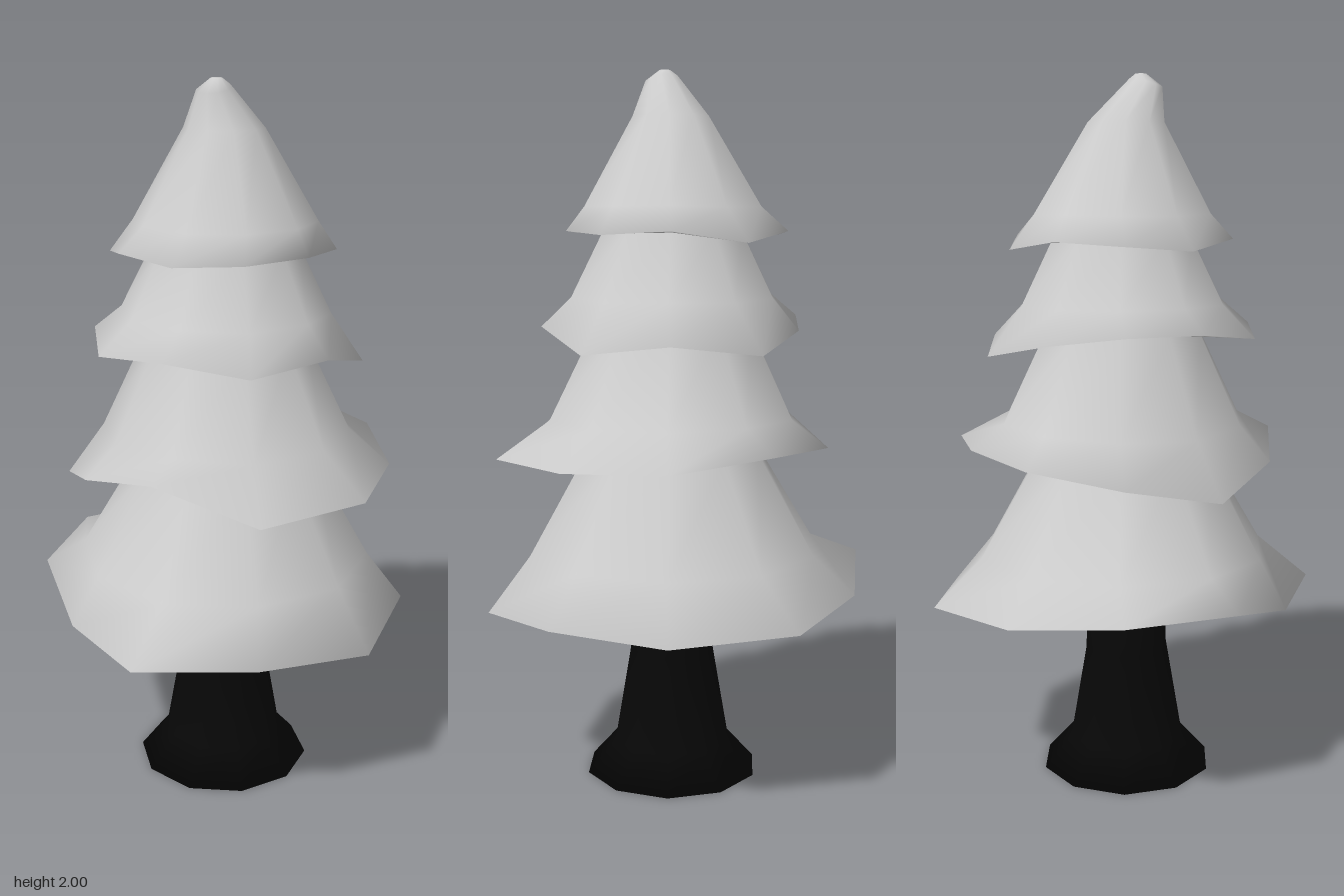
import * as THREE from 'three';

const SIDES = 10;

// One ring of points from the back round by +x; radius and height are numbers or functions of (angle, index)
function ring(cx, cz, y, r) {
  const at = (v, a, j) => (typeof v === 'function' ? v(a, j) : v);
  return Array.from({ length: SIDES }, (_, j) => {
    const a = -Math.PI / 2 + (j / SIDES) * Math.PI * 2;
    const radius = at(r, a, j);
    return [cx + radius * Math.cos(a), at(y, a, j), cz + radius * Math.sin(a)];
  });
}

const mix = (a, b, t) => a.map((p, j) => p.map((v, k) => v + (b[j][k] - v) * t));

// Skins a list of rings, smooth shaded
function loft(rings, material, name) {
  const index = [];
  for (let i = 0; i < rings.length - 1; i++) {
    for (let j = 0; j < SIDES; j++) {
      const a = i * SIDES + j;
      const b = i * SIDES + ((j + 1) % SIDES);
      index.push(a, a + SIDES, b, b, a + SIDES, b + SIDES);
    }
  }
  const geometry = new THREE.BufferGeometry();
  geometry.setAttribute('position', new THREE.Float32BufferAttribute(rings.flat(2), 3));
  geometry.setIndex(index);
  geometry.computeVertexNormals();
  const mesh = new THREE.Mesh(geometry, material);
  mesh.name = name;
  return mesh;
}

// Skirt of branches: an uneven rim with a lip below, a shoulder [y, r], then the crown rings
function makeTier({ name, radii, heights, shoulder: [sy, sr], crown }, material) {
  const rim = ring(0, 0, (a, j) => heights[j], (a, j) => radii[j]);
  // the shoulder keeps a little of the rim's unevenness
  const shoulder = mix(ring(0.02, -0.01, sy + 0.015, sr), rim, 0.12);
  const ceiling = sy - 0.065;
  const lip = rim.map(([x, y, z]) => [x * 0.85, y + (ceiling - y) * 0.7, z * 0.85]);
  return loft([ring(0.02, -0.01, ceiling, 0), lip, rim, shoulder, ...crown], material, name);
}

// Crown of a lower tier: a cone that runs up inside the tier above
const cone = (y, r) => [ring(0.02, -0.01, y, r), ring(0.02, -0.01, y + 0.07, r * 0.86), ring(0.02, -0.01, y + 0.08, 0)];

export function createModel() {
  const tree = new THREE.Group();
  tree.name = 'tree';
  const foliage = new THREE.MeshStandardMaterial({ color: 0xcccccc });
  const bark = new THREE.MeshStandardMaterial({ color: 0x070707 });

  // Trunk with flared foot
  tree.add(loft([
    ring(0.02, 0, 0, 0),
    ring(0.02, 0, 0, 0.25),
    ring(0.02, 0, 0.09, 0.17),
    ring(0.02, 0, 0.36, 0.123),
    ring(0.02, 0, 0.63, 0.113),
    ring(0.02, 0, 0.63, 0),
  ], bark, 'trunk'));

  tree.add(makeTier({
    name: 'bottomBranches',
    radii: [0.57, 0.55, 0.54, 0.55, 0.51, 0.565, 0.47, 0.51, 0.557, 0.525],
    heights: [0.535, 0.52, 0.53, 0.5, 0.52, 0.53, 0.525, 0.6, 0.61, 0.56],
    shoulder: [0.665, 0.4],
    crown: cone(0.95, 0.25),
  }, foliage));

  tree.add(makeTier({
    name: 'lowerMiddleBranches',
    radii: [0.455, 0.53, 0.49, 0.52, 0.506, 0.43, 0.415, 0.433, 0.41, 0.443],
    heights: [0.98, 0.96, 0.94, 0.935, 0.92, 1, 0.95, 0.885, 0.93, 0.97],
    shoulder: [1.04, 0.335],
    crown: cone(1.3, 0.225),
  }, foliage));

  tree.add(makeTier({
    name: 'upperMiddleBranches',
    radii: [0.403, 0.413, 0.405, 0.388, 0.389, 0.36, 0.366, 0.345, 0.355, 0.355],
    heights: [1.24, 1.27, 1.24, 1.3, 1.28, 1.31, 1.29, 1.32, 1.32, 1.29],
    shoulder: [1.375, 0.28],
    crown: cone(1.56, 0.2),
  }, foliage));

  // Top tier ends in a tip that nods forward
  tree.add(makeTier({
    name: 'topBranches',
    radii: [0.337, 0.336, 0.325, 0.316, 0.312, 0.295, 0.3, 0.297, 0.302, 0.322],
    heights: [1.53, 1.56, 1.55, 1.56, 1.555, 1.545, 1.56, 1.535, 1.55, 1.56],
    shoulder: [1.62, 0.245],
    crown: [
      ring(0.02, 0, 1.87, 0.11),
      ring(0.015, 0.055, (a) => 1.975 - 0.012 * Math.sin(a), 0.047),
      ring(0.015, 0.04, 2, 0.015),
      ring(0.015, 0.04, 2, 0),
    ],
  }, foliage));
  return tree;
}
